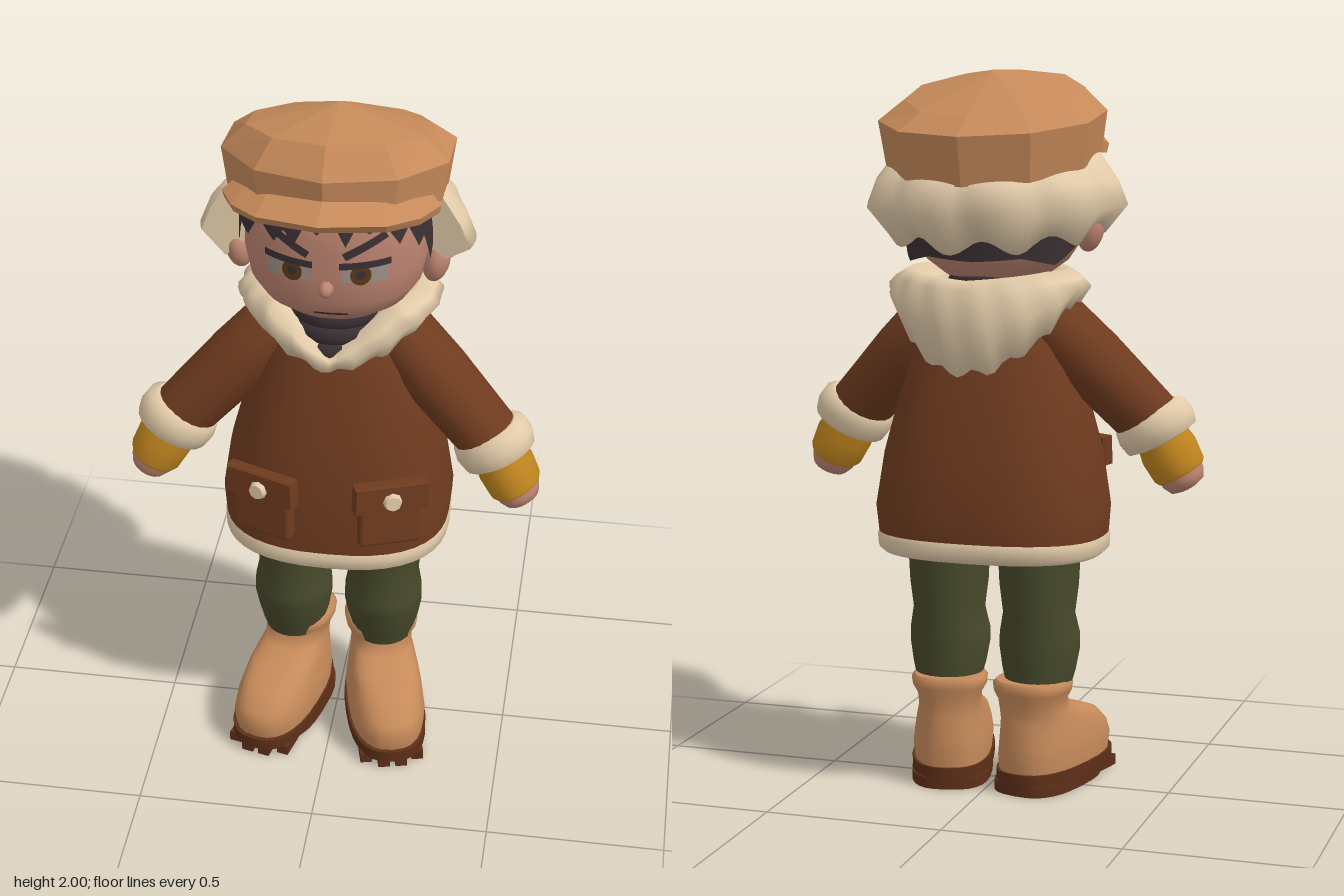
import * as THREE from 'three';
import { RoundedBoxGeometry } from 'three/addons/geometries/RoundedBoxGeometry.js';

const mat = (name, color, side = THREE.FrontSide) => {
  const m = new THREE.MeshStandardMaterial({ color, side });
  m.name = name;
  return m;
};
const rad = THREE.MathUtils.degToRad;
const lerp = THREE.MathUtils.lerp;

// Horizontal ring: half width, front and back z, superellipse power, centre x, slope of y along z
function ring(n, y, rx, zf, zb, p = 2, cx = 0, slope = 0) {
  const pw = (v) => Math.sign(v) * Math.pow(Math.abs(v), 2 / p);
  return Array.from({ length: n }, (_, i) => {
    const a = (i / n) * Math.PI * 2;
    const z = (zf + zb) / 2 + ((zf - zb) / 2) * pw(Math.cos(a));
    return [cx + rx * pw(Math.sin(a)), y + slope * z, z];
  });
}

// Skin a list of rings, with capped ends
function loft(rings, { flat = false, caps = true, closed = false } = {}) {
  const pos = [], idx = [], n = rings[0].length, m = rings.length;
  rings.forEach((r) => r.forEach((p) => pos.push(...p)));
  for (let i = 0; i < (closed ? m : m - 1); i++) {
    for (let j = 0; j < n; j++) {
      const k = (j + 1) % n, u = (i + 1) % m;
      const a = i * n + j, b = i * n + k, c = u * n + k, d = u * n + j;
      idx.push(a, b, c, a, c, d);
    }
  }
  const cap = (r, up) => {
    const base = pos.length / 3;
    r.forEach((p) => pos.push(...p));
    pos.push(...[0, 1, 2].map((q) => r.reduce((s, p) => s + p[q], 0) / n));
    for (let j = 0; j < n; j++) {
      const a = base + j, b = base + ((j + 1) % n);
      idx.push(base + n, up ? a : b, up ? b : a);
    }
  };
  if (caps && !closed) { cap(rings[0], false); cap(rings[m - 1], true); }
  let g = new THREE.BufferGeometry();
  g.setAttribute('position', new THREE.Float32BufferAttribute(pos, 3));
  g.setIndex(idx);
  if (flat) g = g.toNonIndexed();
  g.computeVertexNormals();
  return g;
}
const stack = (n, rows, p, cx) => loft(rows.map(([y, rx, zf, zb]) => ring(n, y, rx, zf, zb, p, cx)));

function add(parent, name, geo, material, x = 0, y = 0, z = 0) {
  const m = new THREE.Mesh(geo, material);
  m.name = name;
  m.position.set(x, y, z);
  parent.add(m);
  return m;
}

// Copy a group to the other side of the body
function mirrored(group, name) {
  const out = new THREE.Group();
  out.name = name;
  group.updateMatrixWorld(true);
  group.traverse((o) => {
    if (!o.isMesh) return;
    const g = o.geometry.index ? o.geometry.toNonIndexed() : o.geometry.clone();
    g.applyMatrix4(o.matrixWorld).applyMatrix4(new THREE.Matrix4().makeScale(-1, 1, 1));
    for (const key of ['position', 'normal']) {
      const a = g.attributes[key].array;
      for (let i = 0; i < a.length; i += 9)
        for (let q = 3; q < 6; q++) [a[i + q], a[i + q + 3]] = [a[i + q + 3], a[i + q]];
    }
    add(out, o.name, g, o.material);
  });
  return out;
}

// Piecewise linear lookup in rows keyed by their first value
function lookup(rows, t) {
  let i = 0;
  while (i < rows.length - 2 && t > rows[i + 1][0]) i++;
  const f = THREE.MathUtils.clamp((t - rows[i][0]) / (rows[i + 1][0] - rows[i][0]), 0, 1);
  return rows[i].map((v, k) => lerp(v, rows[i + 1][k], f));
}

const HEAD = [[1.42, 0.08, 0.06, -0.08], [1.44, 0.14, 0.13, -0.13], [1.48, 0.195, 0.175, -0.17], [1.53, 0.23, 0.195, -0.195],
  [1.6, 0.245, 0.2, -0.21], [1.68, 0.245, 0.2, -0.22], [1.76, 0.235, 0.195, -0.22], [1.86, 0.2, 0.16, -0.19]];
const HP = 2.2;

// Bend a flat shape onto the face
function onFace(geo, x, y, lift, turn = 0) {
  geo.rotateZ(turn).translate(x, y, 0);
  const p = geo.attributes.position;
  for (let i = 0; i < p.count; i++) {
    const [, rx, zf, zb] = lookup(HEAD, p.getY(i));
    const k = Math.pow(Math.max(0, 1 - Math.pow(Math.abs(p.getX(i)) / rx, HP)), 1 / HP);
    p.setZ(i, (zf + zb) / 2 + ((zf - zb) / 2) * k + lift);
  }
  geo.computeVertexNormals();
  return geo;
}

export function createModel() {
  const brown = mat('coat brown', 0x6f3b1f), tan = mat('leather tan', 0xc68a5a);
  const cream = mat('fur cream', 0xe2cba9), olive = mat('trouser olive', 0x474a2b);
  const skin = mat('skin', 0xbd8470), dark = mat('hair dark', 0x3b3035, THREE.DoubleSide);
  const mustard = mat('glove mustard', 0xbf841e), sole = mat('sole brown', 0x5d2f18);
  const iris = mat('iris brown', 0x5c3a18), eyeWhite = mat('eye grey', 0xa0928a);

  const model = new THREE.Group();
  model.name = 'figure';

  // Coat and fur hem
  add(model, 'coat', stack(40, [[0.71, 0.315, 0.225, -0.29], [0.8, 0.323, 0.225, -0.3], [0.95, 0.3, 0.213, -0.28],
    [1.1, 0.26, 0.185, -0.25], [1.25, 0.21, 0.15, -0.21], [1.35, 0.16, 0.12, -0.17], [1.42, 0.1, 0.09, -0.13]], 2.5), brown);
  add(model, 'coatHem', loft([[0.672, 0.305, 0.215, -0.28], [0.685, 0.318, 0.23, -0.295], [0.715, 0.32, 0.233, -0.3], [0.732, 0.315, 0.224, -0.29]]
    .map(([y, rx, f, b]) => ring(40, y, rx, f, b, 2.5, 0, -0.02))), cream);

  // Fur collar with a hood hanging behind
  const collar = [];
  for (let i = 0; i < 72; i++) {
    const deg = i * 5 > 180 ? i * 5 - 360 : i * 5, d = Math.abs(deg), a = rad(deg);
    const puff = 1 + 0.035 * Math.abs(Math.sin(a * 8 + 0.4)) - 0.015;
    const yt = 1.465 - 0.125 * Math.max(0, 1 - d / 45) - 0.02 * Math.max(0, (d - 120) / 60);
    const yb = lookup([[0, 1.27], [30, 1.31], [60, 1.355], [100, 1.37], [130, 1.28], [160, 1.21], [180, 1.195]], d)[1]
      + 0.012 * Math.sin(a * 16);
    const P = (k, y) => [0.275 * k * Math.sin(a), y, -0.07 + (d < 90 ? 0.24 : 0.26) * k * Math.cos(a)];
    collar.push([P(0.55, yb + 0.02), P(0.62, yt - 0.03), P(0.8, yt), P(0.93 * puff, yt - 0.025),
      P(puff, lerp(yt, yb, 0.5)), P(0.86 * puff, yb)]);
  }
  add(model, 'furCollar', loft(collar, { closed: true }), cream);

  // Scarf rolls at the neck
  [1.33, 1.38, 1.425].forEach((y, i) => {
    const g = new THREE.TorusGeometry(0.112 - i * 0.006, 0.036, 10, 28).rotateX(Math.PI / 2);
    add(model, 'scarfRoll', g, dark, 0, y, -0.002);
  });

  // Head, nose and mouth
  add(model, 'head', stack(36, HEAD, HP), skin);
  add(model, 'nose', new THREE.SphereGeometry(1, 12, 8).scale(0.02, 0.022, 0.032), skin, 0, 1.575, 0.2);
  add(model, 'mouth', onFace(new THREE.PlaneGeometry(0.09, 0.007, 6, 1), 0.01, 1.49, 0.005), dark);

  // Eyes, lids and brow
  for (const s of [-1, 1]) {
    add(model, 'eye', onFace(new THREE.PlaneGeometry(0.115, 0.055, 6, 2), s * 0.1, 1.625, 0.003), eyeWhite);
    add(model, 'iris', onFace(new THREE.CircleGeometry(0.03, 16).scale(0.9, 1, 1), s * 0.09, 1.62, 0.006), iris);
    add(model, 'pupil', onFace(new THREE.CircleGeometry(0.013, 12), s * 0.09, 1.622, 0.008), dark);
    add(model, 'eyelid', onFace(new THREE.PlaneGeometry(0.13, 0.02, 8, 1), s * 0.1, 1.652, 0.009, s * 0.06), dark);
    add(model, 'brow', onFace(new THREE.PlaneGeometry(0.12, 0.022, 8, 1), s * 0.1, 1.705, 0.009, s * 0.5), dark);
  }

  // Hair shell with a jagged lower edge
  const edge = [[-180, 1.49], [-150, 1.5], [-125, 1.48], [-100, 1.53], [-96, 1.64], [-82, 1.65], [-76, 1.6], [-66, 1.69],
    [-54, 1.68], [-44, 1.75], [-30, 1.7], [-23, 1.745], [-18, 1.69], [-10, 1.77], [-4, 1.74], [3, 1.785], [10, 1.71], [16, 1.765],
    [24, 1.745], [34, 1.765], [44, 1.7], [52, 1.74], [60, 1.67], [66, 1.69], [76, 1.6], [82, 1.65], [96, 1.64], [100, 1.53],
    [125, 1.48], [150, 1.5], [180, 1.49]];
  const hair = Array.from({ length: 6 }, (_, r) => Array.from({ length: 180 }, (_, j) => {
    const deg = j * 2 > 180 ? j * 2 - 360 : j * 2;
    const y = lerp(lookup(edge, deg)[1], 1.85, r / 5);
    const [, rx, zf, zb] = lookup(HEAD, Math.max(y, 1.53));
    return ring(180, y, rx + 0.016, zf + 0.018, zb - 0.035, HP)[j];
  }));
  add(model, 'hair', loft(hair, { caps: false }), dark);

  // Fur flaps around the sides and back of the cap
  const flap = [];
  for (let deg = 80; deg <= 280; deg += 4) {
    const a = rad(deg), back = Math.max(0, -Math.cos(a));
    const puff = 1 + 0.05 * Math.abs(Math.sin(a * 5));
    const yb = 1.575 - 0.045 * back + 0.02 * Math.sin(a * 10);
    const P = (r, y) => [r * Math.sin(a), y, (r - 0.025) * Math.cos(a) - 0.01];
    flap.push([P(0.25, yb + 0.03), P(0.235, 1.76), P(0.285, 1.775 - 0.05 * back), P(0.325 * puff, 1.7),
      P(0.35 * puff, 1.635 - 0.02 * back), P(0.29 * puff, yb)]);
  }
  add(model, 'furFlap', loft(flap), cream);

  // Faceted cap crown and peak
  add(model, 'capCrown', loft([[1.765, 0.295, 0.25, -0.32, 0.22], [1.88, 0.312, 0.26, -0.352, 0.15],
    [1.942, 0.245, 0.2, -0.27, 0.25], [1.995, 0.004, -0.03, -0.04, 0]]
    .map(([y, rx, f, b, s]) => ring(10, y, rx, f, b, 2, 0, s)), { flat: true }), tan);
  add(model, 'capPeak', loft([-72, -54, -34, 0, 34, 54, 72].map((deg) => {
    const a = rad(deg), s = Math.sin(a), c = Math.cos(a), y = 1.765 + 0.055 * c * c;
    return [[0.25 * s, y, 0.2 * c], [0.25 * s, y + 0.055, 0.2 * c], [0.3 * s, y + 0.025, 0.352 * c], [0.295 * s, y, 0.335 * c]];
  }), { flat: true }), tan);

  // Everything that comes in pairs
  const left = new THREE.Group();
  left.name = 'leftSide';
  const ear = add(left, 'ear', new THREE.SphereGeometry(1, 16, 12).scale(0.036, 0.06, 0.045), skin, 0.265, 1.565, 0);
  ear.rotation.z = -0.2;

  // Arm parts run along local y, downwards to the hand
  const limb = (name, at, dir) => {
    const g = new THREE.Group();
    g.name = name;
    g.position.set(...at);
    g.quaternion.setFromUnitVectors(new THREE.Vector3(0, -1, 0), new THREE.Vector3(...dir).normalize());
    left.add(g);
    return g;
  };
  const sym = (rows) => stack(20, rows.map(([y, rx, rz]) => [y, rx, rz, -rz]), 2);
  const arm = limb('arm', [0.17, 1.315, -0.03], [0.27, -0.285, 0.075]);
  add(arm, 'sleeve', sym([[-0.39, 0.088, 0.09], [-0.3, 0.09, 0.1], [-0.15, 0.094, 0.112], [0, 0.09, 0.11], [0.06, 0.05, 0.06]]), brown);
  const hand = limb('hand', [0.44, 1.03, 0.045], [0.45, -0.85, 0.1]);
  add(hand, 'cuff', sym([[-0.045, 0.085, 0.085], [-0.04, 0.105, 0.1], [-0.005, 0.113, 0.108], [0.03, 0.107, 0.104], [0.045, 0.085, 0.085]]), cream);
  add(hand, 'glove', sym([[-0.15, 0.068, 0.08], [-0.14, 0.075, 0.086], [-0.08, 0.08, 0.09], [0, 0.065, 0.075]]), mustard);
  add(hand, 'fingertips', sym([[-0.195, 0.03, 0.035], [-0.188, 0.05, 0.058], [-0.165, 0.062, 0.072], [-0.13, 0.064, 0.074]]), skin);

  // Pocket with flap and button
  const pocket = new THREE.Group();
  pocket.name = 'pocket';
  pocket.position.set(0.172, 0.88, 0.195);
  pocket.rotation.set(-0.06, 0.38, 0);
  left.add(pocket);
  add(pocket, 'pouch', new RoundedBoxGeometry(0.175, 0.15, 0.045, 2, 0.012), brown, 0, -0.03, 0.002);
  const flapShape = new THREE.Shape([[-0.1, 0.045], [-0.102, -0.03], [-0.06, -0.042], [0, -0.05], [0.06, -0.042], [0.102, -0.03], [0.1, 0.045]]
    .map(([x, y]) => new THREE.Vector2(x, y)));
  add(pocket, 'pocketFlap', new THREE.ExtrudeGeometry(flapShape, { depth: 0.03, bevelSize: 0.004, bevelThickness: 0.006, bevelSegments: 1 }),
    brown, 0, 0.045, 0.0);
  add(pocket, 'button', new THREE.CylinderGeometry(0.022, 0.028, 0.016, 8).rotateX(Math.PI / 2), cream, 0, 0.045, 0.042);

  // Trouser leg
  add(left, 'trouserLeg', stack(24, [[0.27, 0.085, 0.05, -0.13], [0.34, 0.103, 0.07, -0.135], [0.4, 0.113, 0.085, -0.14], [0.44, 0.112, 0.09, -0.143],
    [0.5, 0.1, 0.075, -0.145], [0.58, 0.11, 0.085, -0.155], [0.7, 0.116, 0.09, -0.16]], 2, 0.132), olive);

  // Boot, turned slightly outwards, with a lugged sole
  const boot = new THREE.Group();
  boot.name = 'boot';
  boot.position.set(0.125, 0, -0.05);
  boot.rotation.y = 0.24;
  left.add(boot);
  add(boot, 'bootUpper', stack(28, [[0.05, 0.108, 0.325, -0.108], [0.1, 0.112, 0.335, -0.112], [0.14, 0.107, 0.32, -0.11], [0.18, 0.1, 0.27, -0.107],
    [0.205, 0.094, 0.2, -0.104], [0.225, 0.088, 0.11, -0.102], [0.26, 0.09, 0.085, -0.105], [0.285, 0.104, 0.09, -0.112],
    [0.305, 0.107, 0.092, -0.114], [0.316, 0.098, 0.084, -0.105]], 2.5), tan);
  add(boot, 'sole', stack(28, [[0.028, 0.115, 0.34, -0.115], [0.062, 0.115, 0.34, -0.115]], 2.6), sole);
  add(boot, 'tread', stack(28, [[0, 0.113, 0.26, -0.114], [0.03, 0.113, 0.26, -0.114]], 2.8), sole);
  [-0.075, -0.025, 0.025, 0.075].forEach((x) => {
    const len = Math.abs(x) > 0.05 ? 0.11 : 0.135;
    add(boot, 'lug', new THREE.BoxGeometry(0.034, 0.03, len), sole, x, 0.015, 0.195 + len / 2);
  });

  model.add(mirrored(left, 'rightSide'));
  model.add(left);
  return model;
}
